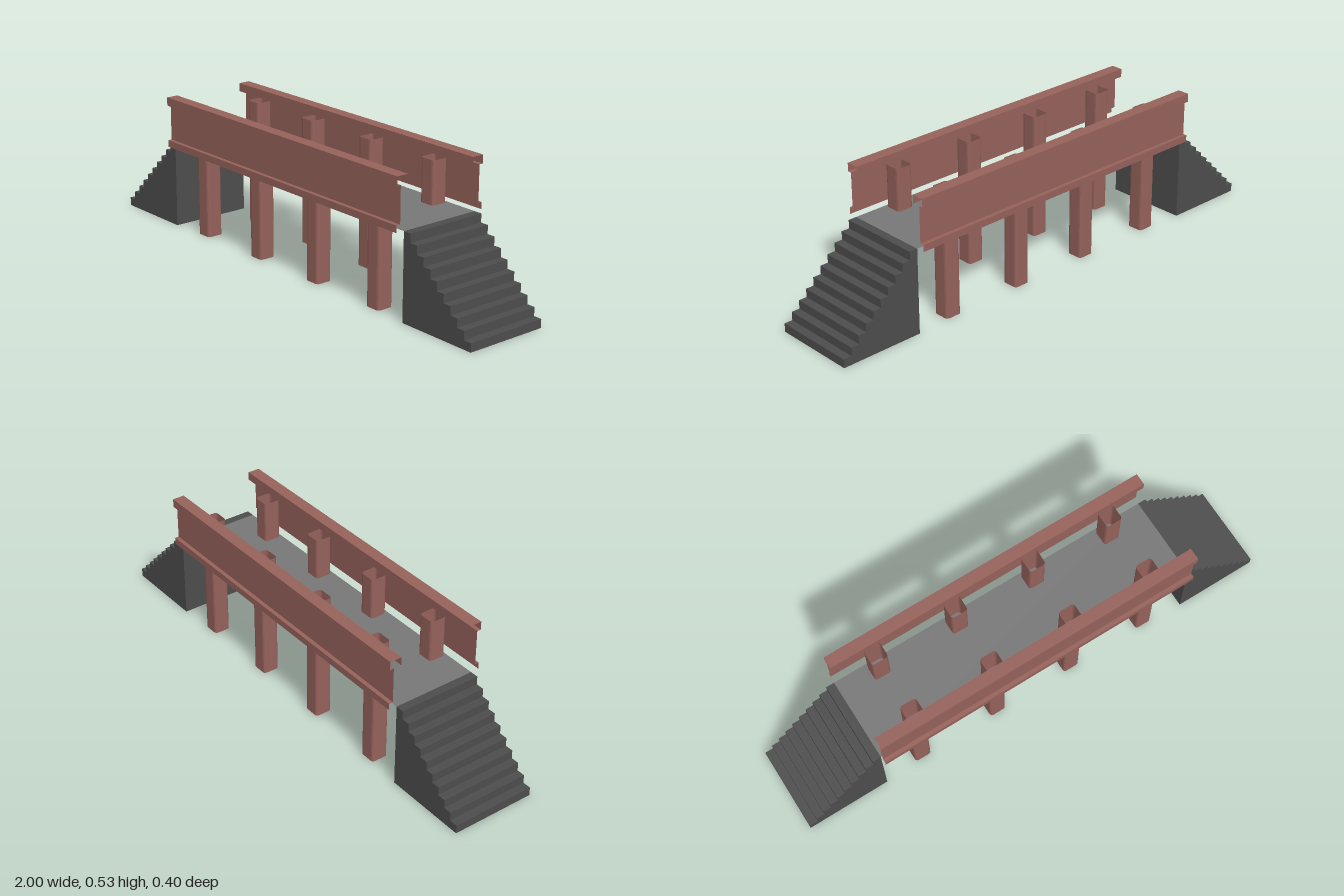
import * as THREE from 'three';

const material = (name, color) => {
  const m = new THREE.MeshStandardMaterial({ color, side: THREE.DoubleSide });
  m.name = name;
  return m;
};

// Open sheet: sweeps a 2D profile between a and b; place(u, v, t) gives each 3D point
function sweep(profile, a, b, place) {
  const pos = [];
  for (let i = 0; i < profile.length - 1; i++) {
    const [p, q] = [profile[i], profile[i + 1]];
    const c = [place(...p, a), place(...q, a), place(...q, b), place(...p, b)];
    for (const k of [0, 1, 2, 0, 2, 3]) pos.push(...c[k]);
  }
  const g = new THREE.BufferGeometry();
  g.setAttribute('position', new THREE.Float32BufferAttribute(pos, 3));
  g.computeVertexNormals();
  return g;
}

export function createModel() {
  const model = new THREE.Group();
  model.name = 'footbridge';
  const red = material('rust red', 0x96625b);
  const dark = material('dark grey', 0x4d4d4d);
  const grey = material('deck grey', 0x787878);

  const add = (parent, name, geometry, mat) => {
    const mesh = new THREE.Mesh(geometry, mat);
    mesh.name = name;
    parent.add(mesh);
    return mesh;
  };

  const U = 1 / 30;                       // one step
  const END = 20 * U, TOP = 10 * U, HALF = 5 * U;

  // Deck sheet
  const deck = new THREE.PlaneGeometry(2 * END, 2 * HALF).rotateX(-Math.PI / 2);
  add(model, 'deck', deck, grey).position.y = TOP;

  // Side girders: flanged sheet profile in (z, y), open at the ends and below
  const girderProfile = [
    [0.152, 0.5], [0.152, 0.533], [0.2, 0.533], [0.2, 0.5],
    [0.184, 0.5], [0.184, 0.36], [0.2, 0.36], [0.2, TOP],
  ];
  for (const side of [1, -1]) {
    const g = sweep(girderProfile, -END, END, (z, y, x) => [x, y, z * side]);
    add(model, side > 0 ? 'frontGirder' : 'backGirder', g, red);
  }

  // Posts: open square tubes with rounded corners
  const r = 0.011, h = U - r, outline = [];
  [[1, 1], [-1, 1], [-1, -1], [1, -1]].forEach(([sx, sz], corner) => {
    for (let i = 0; i <= 3; i++) {
      const a = (corner + i / 3) * Math.PI / 2;
      outline.push([sx * h + r * Math.cos(a), sz * h + r * Math.sin(a)]);
    }
  });
  outline.push(outline[0]);
  const postGeometry = sweep(outline, 0, 0.5, (x, z, y) => [x, y, z]);
  for (const x of [-0.5, -1 / 6, 1 / 6, 0.5]) {
    for (const z of [0.125, -0.125]) {
      add(model, 'post', postGeometry, red).position.set(x, 0, z);
    }
  }

  // Stairs: ten steps and an end wall, open underneath
  const steps = [[END, 0], [END, TOP]];
  for (let i = 10; i > 0; i--) {
    const x = 1 - (i - 1) * U;
    steps.push([x, i * U], [x, (i - 1) * U]);
  }
  const sideShape = new THREE.Shape(steps.map(([x, y]) => new THREE.Vector2(x, y)));
  const sideGeometry = new THREE.ShapeGeometry(sideShape);
  const stepGeometry = sweep(steps, -HALF, HALF, (x, y, z) => [x, y, z]);
  for (const turn of [0, Math.PI]) {
    const stairs = new THREE.Group();
    stairs.name = turn ? 'rightStairs' : 'leftStairs';
    add(stairs, 'steps', stepGeometry, dark);
    for (const z of [HALF, -HALF]) add(stairs, 'stairSide', sideGeometry, dark).position.z = z;
    stairs.rotation.y = turn;
    model.add(stairs);
  }
  return model;
}
